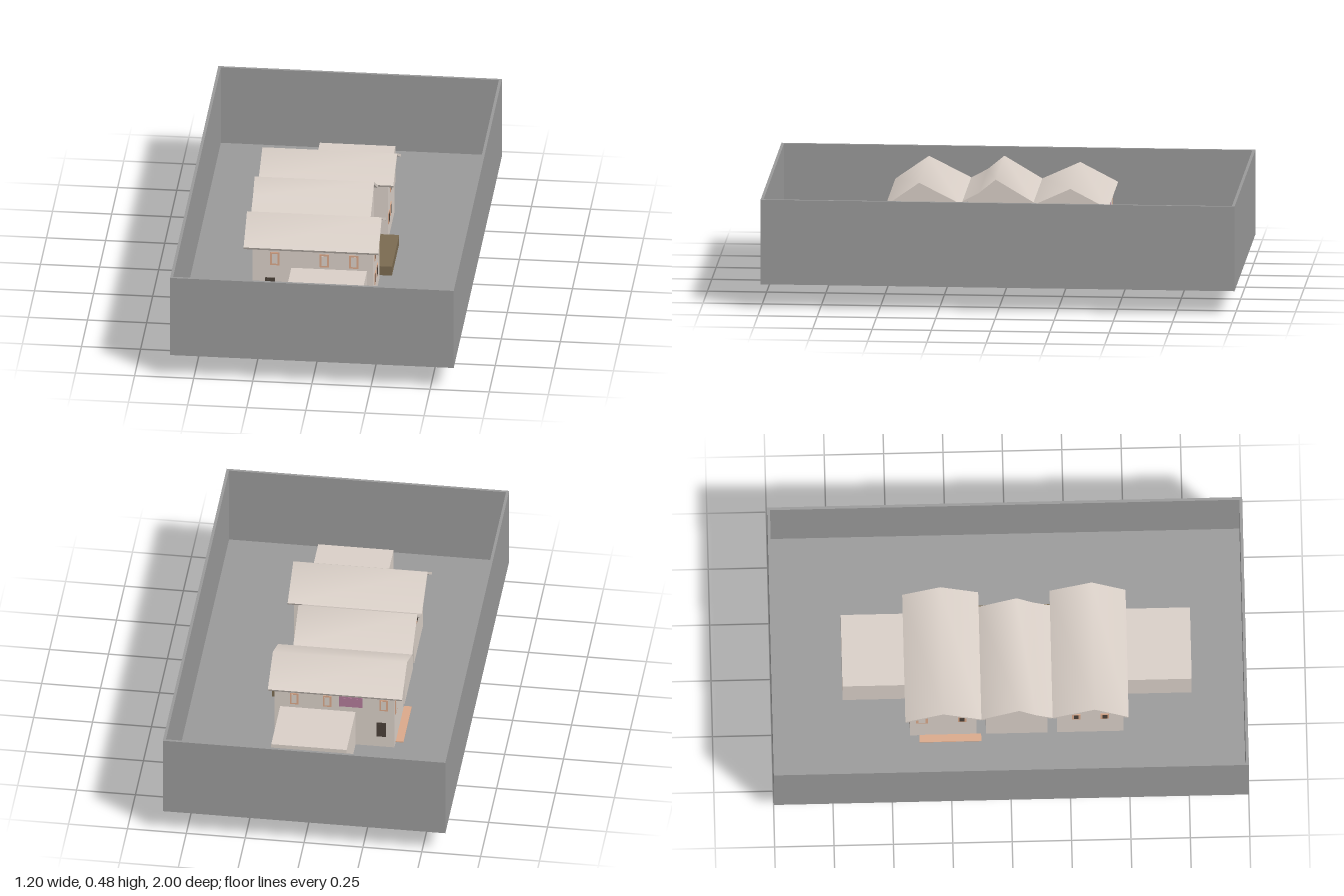
import * as THREE from 'three';
import { toCreasedNormals } from 'three/addons/utils/BufferGeometryUtils.js';

const mat = (color) => new THREE.MeshStandardMaterial({ color });

export function createModel() {
  const model = new THREE.Group();
  const grey = mat(0x999999), plaster = mat(0xd8cec6), brown = mat(0x7a6a50);
  const peach = mat(0xd9a88a), dark = mat(0x4a4038), teal = mat(0x3fb0a0), pink = mat(0xb07a98);

  // Box given by its limits on each axis
  const box = (name, [x0, x1], [y0, y1], [z0, z1], material, parent = model) => {
    const m = new THREE.Mesh(new THREE.BoxGeometry(x1 - x0, y1 - y0, z1 - z0), material);
    m.position.set((x0 + x1) / 2, (y0 + y1) / 2, (z0 + z1) / 2);
    m.name = name;
    parent.add(m);
    return m;
  };

  // Outline in (z, y), swept along x from x0 to x1
  const sweep = (name, pts, x0, x1, material, parent, crease = 0.2) => {
    const shape = new THREE.Shape(pts.map(([z, y]) => new THREE.Vector2(z, y)));
    let geo = new THREE.ExtrudeGeometry(shape, { depth: x1 - x0, bevelEnabled: false });
    geo.rotateY(-Math.PI / 2).translate(x1, 0, 0);
    geo = toCreasedNormals(geo, crease);
    const m = new THREE.Mesh(geo, material);
    m.name = name;
    parent.add(m);
  };

  // Height of a roof line at depth z
  const heightAt = (line, z) => {
    for (let i = 1; i < line.length; i++) {
      const [za, ya] = line[i - 1], [zb, yb] = line[i];
      if (z <= zb) return ya + ((yb - ya) * (z - za)) / (zb - za);
    }
    return line[line.length - 1][1];
  };

  // Enclosing yard: floor and four thin walls
  const low = 0.105, high = 0.468, t = 0.012;
  const yard = new THREE.Group();
  yard.name = 'yard';
  model.add(yard);
  box('yardFloor', [-0.6, 0.6], [low, low + 0.008], [-1, 1], grey, yard);
  for (const s of [-1, 1]) {
    const x = s * (0.6 - t / 2), z = s * (1 - t / 2);
    box('yardSideWall', [x - t / 2, x + t / 2], [low, high], [-1, 1], grey, yard);
    box('yardEndWall', [-0.6 + t, 0.6 - t], [low, high], [z - t / 2, z + t / 2], grey, yard);
  }

  // Three gabled houses, ridges along x
  const houses = [
    { name: 'backHouse', line: [[-0.44, 0.375], [-0.28, 0.458], [-0.12, 0.385]], roof: [-0.34, 0.23], walls: [-0.305, 0.205] },
    { name: 'middleHouse', line: [[-0.12, 0.385], [0.04, 0.48], [0.11, 0.422], [0.18, 0.385]], roof: [-0.34, 0.165], walls: [-0.305, 0.15] },
    { name: 'frontHouse', line: [[0.18, 0.385], [0.358, 0.475], [0.5, 0.375]], roof: [-0.34, 0.23], walls: [-0.305, 0.205] },
  ];
  for (const { name, line, roof, walls } of houses) {
    const g = new THREE.Group();
    g.name = name;
    model.add(g);
    const n = line.length - 1;
    // roof slab, eaves cut square to the slope
    const under = line.map(([z, y], i) => [z + (i === 0 ? 0.005 : i === n ? -0.005 : 0), y - 0.01]);
    sweep('roof', [...under, ...[...line].reverse()], roof[0], roof[1], plaster, g, 1.35);
    // wall block filling up to the underside of the roof
    const zs = [line[0][0] + 0.02, ...line.slice(1, n).map((p) => p[0]), line[n][0] - 0.02];
    const top = zs.map((z) => [z, heightAt(line, z) - 0.009]).reverse();
    sweep('walls', [[zs[0], low - 0.001], [zs[zs.length - 1], low - 0.001], ...top], walls[0], walls[1], plaster, g);
  }

  // Flat-roofed annexes at both ends
  box('frontAnnex', [-0.14, 0.18], [low - 0.003, 0.28], [0.47, 0.77], plaster);
  box('backAnnex', [-0.14, 0.18], [low - 0.003, 0.28], [-0.70, -0.41], plaster);
  box('frontAnnexFloor', [-0.135, 0.175], [low - 0.005, low], [0.45, 0.765], dark);

  // Terrace beside the middle house
  box('terrace', [0.145, 0.255], [low - 0.001, 0.155], [-0.12, 0.18], brown);
  box('terraceDoor', [0.145, 0.156], [0.15, 0.225], [0.08, 0.15], brown);

  // Cellar and other parts below the yard floor
  box('cellar', [-0.30, 0.035], [0.004, 0.11], [0.155, 0.415], plaster);
  box('cellarFloor', [-0.30, 0.035], [0, 0.004], [0.155, 0.415], dark);
  box('cellarBackWall', [-0.30, 0.03], [0.006, low], [0.153, 0.156], peach);
  box('sideSill', [-0.338, -0.305], [low - 0.006, low + 0.012], [-0.38, -0.12], peach);
  for (const x of [-0.06, 0.09]) box('pitSide', [x, x + 0.012], [0.09, 0.11], [-0.63, -0.44], grey);
  for (const z of [-0.63, -0.452]) box('pitEnd', [-0.06, 0.10], [0.09, 0.11], [z, z + 0.012], grey);

  // Framed windows: on walls facing along z, then on walls facing along x
  const pane = (along, u, y, at, w, h, frame, glass = dark) => {
    const g = new THREE.Group();
    g.name = 'window';
    model.add(g);
    const put = (name, ww, hh, d, m) => {
      const U = [u - ww / 2, u + ww / 2], V = [y - hh / 2, y + hh / 2], D = [at - d, at + d];
      if (along === 'x') box(name, U, V, D, m, g);
      else box(name, D, V, U, m, g);
    };
    put('windowFrame', w, h, 0.003, frame);
    put('windowPane', w * 0.6, h * 0.75, 0.004, glass);
  };
  for (const x of [-0.21, 0, 0.125]) pane('x', x, 0.32, 0.48, 0.04, 0.06, peach, plaster);
  for (const x of [-0.26, -0.02, 0.12]) pane('x', x, 0.325, -0.42, 0.035, 0.055, peach, plaster);
  pane('x', -0.12, 0.33, -0.42, 0.10, 0.05, pink, pink);
  pane('x', -0.25, 0.2, -0.42, 0.04, 0.07, dark);
  pane('x', -0.23, 0.2, 0.48, 0.04, 0.06, dark);
  for (const [z, y] of [[0.397, 0.32], [0.397, 0.21], [0.317, 0.205], [-0.246, 0.324], [-0.176, 0.21], [-0.246, 0.215]])
    pane('z', z, y, 0.205, 0.04, 0.05, peach);
  for (const z of [-0.48, -0.59]) pane('z', z, 0.185, 0.18, 0.04, 0.05, plaster, teal);
  pane('z', -0.37, 0.3, -0.305, 0.05, 0.07, peach, plaster);
  for (const z of [-0.2, 0.28, 0.4]) pane('z', z, 0.3, -0.305, 0.035, 0.055, peach);

  return model;
}
